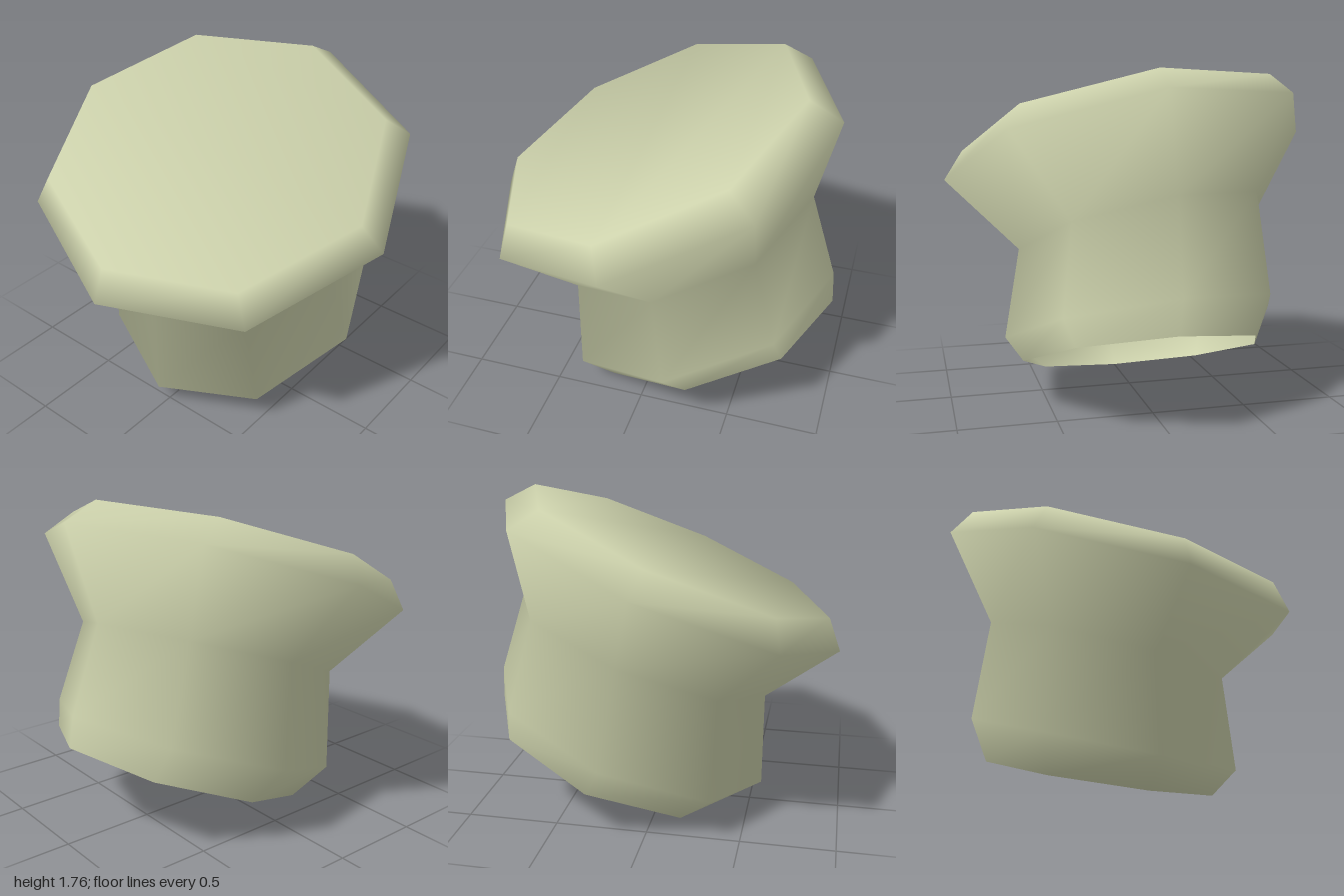
import * as THREE from 'three';

const SIDES = 8;

// Tilted octagonal cross-sections, bottom to top.
// Height follows the plane y = y0 + sx * x + sz * z; skew slides x along z.
const SECTIONS = [
  { cx: 0.0, cz: -0.295, rx: 0.64, rz: 0.665, y0: 0.152, sx: 0, sz: -0.4, skew: 0 },           // open foot
  { cx: -0.02, cz: -0.19, rx: 0.74, rz: 0.755, y0: 0.34, sx: -0.058, sz: -0.39, skew: 0 },     // stem base
  { cx: -0.04, cz: -0.11, rx: 0.67, rz: 0.68, y0: 0.865, sx: -0.127, sz: -0.38, skew: 0 },     // neck
  { cx: 0.0, cz: 0.028, rx: 1.0, rz: 0.93, y0: 1.315, sx: -0.115, sz: -0.4, skew: -0.043 },    // rim
  { cx: 0.0, cz: 0.085, rx: 0.9, rz: 0.81, y0: 1.473, sx: -0.113, sz: -0.404, skew: -0.043 },  // top edge
];

function ringPoints({ cx, cz, rx, rz, y0, sx, sz, skew }) {
  const points = [];
  for (let k = 0; k < SIDES; k++) {
    const a = (k / SIDES) * Math.PI * 2;
    const dz = rz * Math.cos(a);
    const x = cx + rx * Math.sin(a) + skew * dz;
    const z = cz + dz;
    points.push(x, y0 + sx * x + sz * z, z);
  }
  return points;
}

// Zigzag triangles across the flat top, counterclockwise in ring order
function capIndices(start) {
  const out = [];
  let lo = 0;
  let hi = SIDES - 1;
  for (let i = 0; hi - lo > 1; i++) {
    const tri = i % 2 ? [lo, hi - 1, hi] : [lo, lo + 1, hi];
    if (i % 2) hi--;
    else lo++;
    out.push(...tri.map((v) => v + start));
  }
  return out;
}

// Smooth normals weighted by corner angle, so the big top face does not dominate
function setAngleNormals(geometry) {
  const position = geometry.getAttribute('position');
  const index = geometry.getIndex();
  const points = [];
  const normals = [];
  for (let i = 0; i < position.count; i++) {
    points.push(new THREE.Vector3().fromBufferAttribute(position, i));
    normals.push(new THREE.Vector3());
  }
  for (let i = 0; i < index.count; i += 3) {
    const corners = [0, 1, 2].map((j) => index.getX(i + j));
    corners.forEach((v, j) => {
      const e1 = points[corners[(j + 1) % 3]].clone().sub(points[v]);
      const e2 = points[corners[(j + 2) % 3]].clone().sub(points[v]);
      const angle = e1.angleTo(e2);
      normals[v].addScaledVector(e1.cross(e2).normalize(), angle);
    });
  }
  const flat = normals.flatMap((n) => n.normalize().toArray());
  geometry.setAttribute('normal', new THREE.Float32BufferAttribute(flat, 3));
}

function loftGeometry(sections) {
  const indices = [];
  // Side walls
  for (let r = 0; r < sections.length - 1; r++) {
    for (let k = 0; k < SIDES; k++) {
      const a = r * SIDES + k;
      const b = r * SIDES + ((k + 1) % SIDES);
      indices.push(a, b, b + SIDES, a, b + SIDES, a + SIDES);
    }
  }
  // Closed top; the foot stays open
  indices.push(...capIndices((sections.length - 1) * SIDES));

  const geometry = new THREE.BufferGeometry();
  geometry.setAttribute('position', new THREE.Float32BufferAttribute(sections.flatMap(ringPoints), 3));
  geometry.setIndex(indices);
  setAngleNormals(geometry);
  return geometry;
}

export function createModel() {
  const group = new THREE.Group();
  group.name = 'flaredStump';

  // Both sides show, as the shell is hollow from below
  const paleOlive = new THREE.MeshStandardMaterial({ color: 0xcdd2ac, side: THREE.DoubleSide });
  paleOlive.name = 'paleOlive';

  // Stem, neck and flared cap in one smooth shell
  const body = new THREE.Mesh(loftGeometry(SECTIONS), paleOlive);
  body.name = 'stemAndCap';
  group.add(body);

  return group;
}
